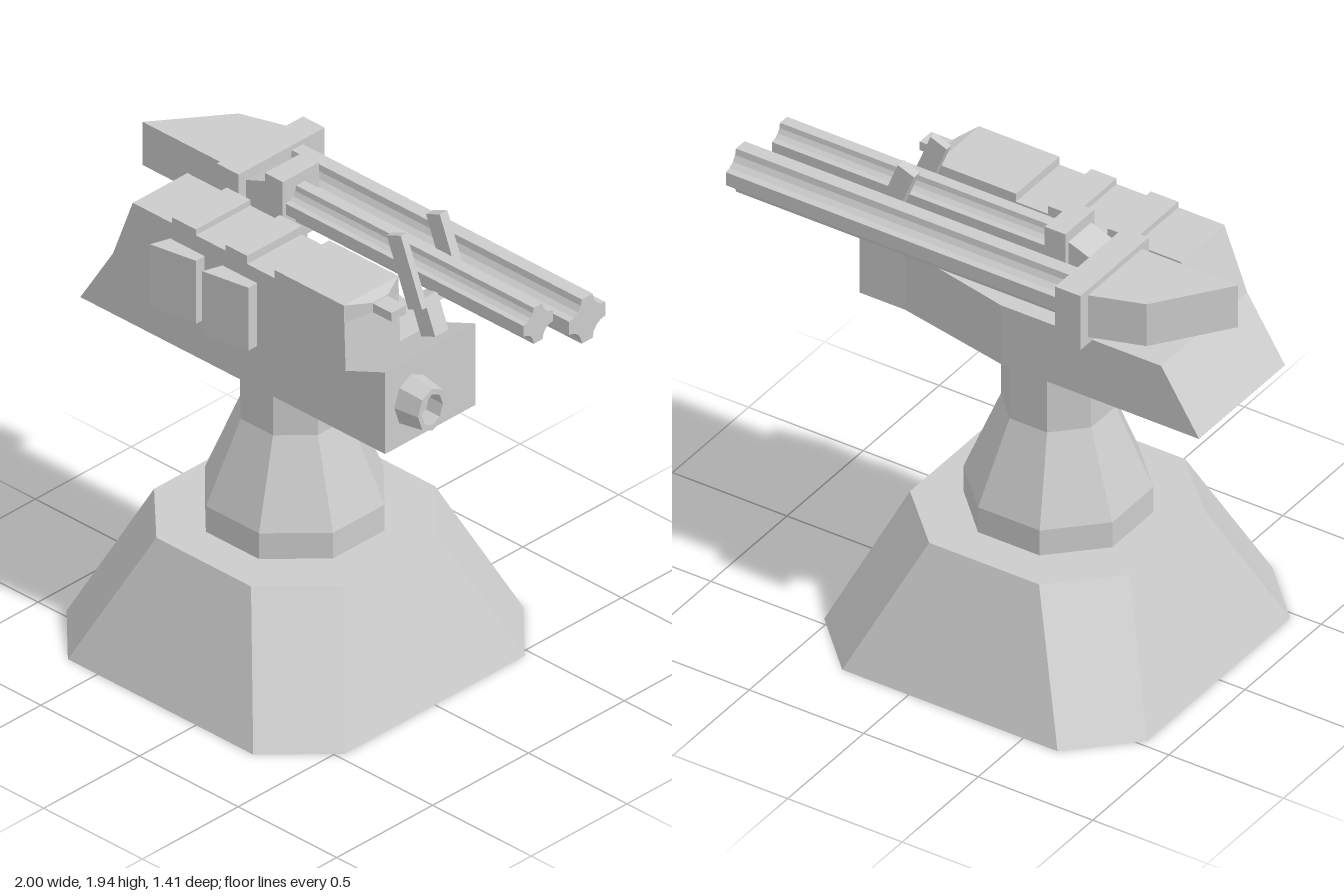
import * as THREE from 'three';

const material = new THREE.MeshStandardMaterial({ color: 0xcccccc, flatShading: true });

// Flat-shaded skin through matching rings, capped at both ends.
// Rings run counter-clockwise seen from the last ring's side.
function loft(rings) {
  const pos = [];
  const tri = (a, b, c) => pos.push(...a, ...b, ...c);
  const n = rings[0].length;
  for (let i = 0; i < rings.length - 1; i++) {
    for (let j = 0; j < n; j++) {
      const k = (j + 1) % n;
      tri(rings[i][j], rings[i][k], rings[i + 1][k]);
      tri(rings[i][j], rings[i + 1][k], rings[i + 1][j]);
    }
  }
  const first = rings[0], last = rings[rings.length - 1];
  for (let j = 1; j < n - 1; j++) {
    tri(first[0], first[j + 1], first[j]);
    tri(last[0], last[j], last[j + 1]);
  }
  const g = new THREE.BufferGeometry();
  g.setAttribute('position', new THREE.Float32BufferAttribute(pos, 3));
  g.computeVertexNormals();
  return g;
}

const rectX = (x, y0, y1, z0, z1) => [[x, y0, z0], [x, y1, z0], [x, y1, z1], [x, y0, z1]];

const toShape = (pts) => new THREE.Shape(pts.map(([x, y]) => new THREE.Vector2(x, y)));

// Side profile (x, y) extruded from z0 to z1
function sideprism(pts, z0, z1) {
  return new THREE.ExtrudeGeometry(toShape(pts), { depth: z1 - z0, bevelEnabled: false }).translate(0, 0, z0);
}

// Plan outline (x, z) extruded from y0 to y1
function planPrism(pts, y0, y1) {
  return new THREE.ExtrudeGeometry(toShape(pts.map(([x, z]) => [x, -z])), { depth: y1 - y0, bevelEnabled: false })
    .rotateX(-Math.PI / 2).translate(0, y0, 0);
}

function block(x0, x1, y0, y1, z0, z1) {
  return new THREE.BoxGeometry(x1 - x0, y1 - y0, z1 - z0)
    .translate((x0 + x1) / 2, (y0 + y1) / 2, (z0 + z1) / 2);
}

// Four-armed fluted bar along x: flat arm ends with round grooves between them
function flutedBar(x0, x1, y, z, r) {
  const s = new THREE.Shape();
  const w = r * 0.3;
  const pts = [];
  for (let q = 0; q < 4; q++) {
    const rot = q * Math.PI / 2, c = Math.cos(rot), sn = Math.sin(rot);
    const put = (u, v) => pts.push([u * c - v * sn, u * sn + v * c]);
    put(r, -w);
    for (let i = 0; i <= 4; i++) {
      const a = -Math.PI / 2 - i * Math.PI / 8;
      put(r + (r - w) * Math.cos(a), r + (r - w) * Math.sin(a));
    }
  }
  s.setFromPoints(pts.map(([u, v]) => new THREE.Vector2(u, v)));
  return new THREE.ExtrudeGeometry(s, { depth: x1 - x0, bevelEnabled: false })
    .rotateY(Math.PI / 2).translate(x0, y, z);
}

export function createModel() {
  const model = new THREE.Group();
  const add = (name, geometry) => {
    const mesh = new THREE.Mesh(geometry, material);
    mesh.name = name;
    model.add(mesh);
    return mesh;
  };

  // Sloped octagonal base
  const baseRing = (y, W, w, D, d) =>
    [[-w, D], [w, D], [W, d], [W, -d], [w, -D], [-w, -D], [-W, -d], [-W, d]].map(([x, z]) => [x - 0.18, y, z]);
  add('base', loft([baseRing(0, 0.705, 0.47, 0.705, 0.47), baseRing(0.52, 0.48, 0.24, 0.48, 0.245)]));

  // Octagonal pedestal
  const k = 1 / Math.cos(Math.PI / 8);
  const profile = [[0, 0.5], [0.325, 0.5], [0.325, 0.63], [0.197, 0.97], [0.197, 1.25], [0, 1.25]];
  add('pedestal', new THREE.LatheGeometry(profile.map(([r, y]) => new THREE.Vector2(r * k, y)), 8, Math.PI / 8)
    .translate(-0.185, 0, 0));

  // Lower hull, narrowing toward the nose on its back side
  const hull = [[-0.965, 1.241, -0.25], [-0.8, 1.5, -0.25], [-0.1, 1.5, -0.25], [0.38, 1.51, -0.155], [0.58, 1.59, -0.155]];
  add('lowerHull', loft(hull.map(([x, top, z]) => rectX(x, 1.24, top, z, 0.315))));

  // Upper hull with stepped roof
  add('upperHull', sideprism([
    [-0.8, 1.49], [0.38, 1.49], [0.37, 1.785], [0.02, 1.785], [0.02, 1.75], [-0.12, 1.75], [-0.12, 1.785],
    [-0.23, 1.785], [-0.23, 1.76], [-0.38, 1.76], [-0.38, 1.785], [-0.5, 1.785], [-0.5, 1.76], [-0.7, 1.76], [-0.8, 1.5],
  ], 0.03, 0.315));

  // Sight at the front of the roof
  add('sightHood', loft([rectX(0.37, 1.71, 1.785, 0.03, 0.315), rectX(0.415, 1.73, 1.77, 0.13, 0.21)]));
  add('sight', block(0.41, 0.51, 1.73, 1.767, 0.135, 0.21));

  // Angled side panels
  for (const x of [-0.535, -0.27]) {
    add('sidePanel', planPrism([[x + 0.03, 0.3], [x, 0.395], [x + 0.2, 0.36], [x + 0.2, 0.3]], 1.42, 1.69));
  }

  // Hollow nose muzzle
  const muzzle = [[0.108, 0], [0.09, 0.11], [0.066, 0.11], [0.066, 0.04], [0, 0.04]];
  const nose = add('noseMuzzle', new THREE.LatheGeometry(muzzle.map(([r, y]) => new THREE.Vector2(r, y)), 8)
    .rotateZ(-Math.PI / 2).scale(1, 1, 0.83));
  nose.position.set(0.576, 1.415, 0.178);

  // Twin fluted barrels with collars
  add('longBarrel', flutedBar(-0.5, 1, 1.725, -0.307, 0.095));
  add('shortBarrel', flutedBar(-0.3, 0.94, 1.765, -0.113, 0.077));
  add('longBarrelCollar', block(-0.58, -0.47, 1.6, 1.84, -0.45, 0));
  add('shortBarrelCollar', block(-0.355, -0.265, 1.61, 1.888, -0.21, -0.02));

  // Breech housings behind the collars
  add('rearHousing', planPrism([[-1, -0.045], [-0.58, -0.045], [-0.58, -0.4], [-0.79, -0.33]], 1.63, 1.815));
  add('breech', sideprism([[-0.48, 1.64], [-0.35, 1.64], [-0.35, 1.845], [-0.48, 1.795]], -0.19, -0.04));

  // Struts from the hull deck to the collars
  add('rearStrut', block(-0.56, -0.49, 1.49, 1.62, -0.2, -0.06));
  add('middleStrut', block(-0.345, -0.275, 1.49, 1.63, -0.16, -0.06));

  // Tilted fork holding the front of the short barrel
  const fork = new THREE.Group();
  fork.name = 'barrelFork';
  fork.position.set(0.425, 1.665, 0);
  fork.rotation.z = 0.38;
  const forkParts = {
    outerProng: block(-0.038, 0.038, 0, 0.28, -0.24, -0.2),
    innerProng: block(-0.038, 0.038, 0, 0.28, -0.025, 0.004),
    crossbar: block(-0.038, 0.038, -0.012, 0.025, -0.24, 0.004),
    stem: block(-0.038, 0.038, -0.14, 0, -0.09, -0.02),
  };
  for (const [name, geometry] of Object.entries(forkParts)) {
    const mesh = new THREE.Mesh(geometry, material);
    mesh.name = name;
    fork.add(mesh);
  }
  model.add(fork);

  return model;
}
